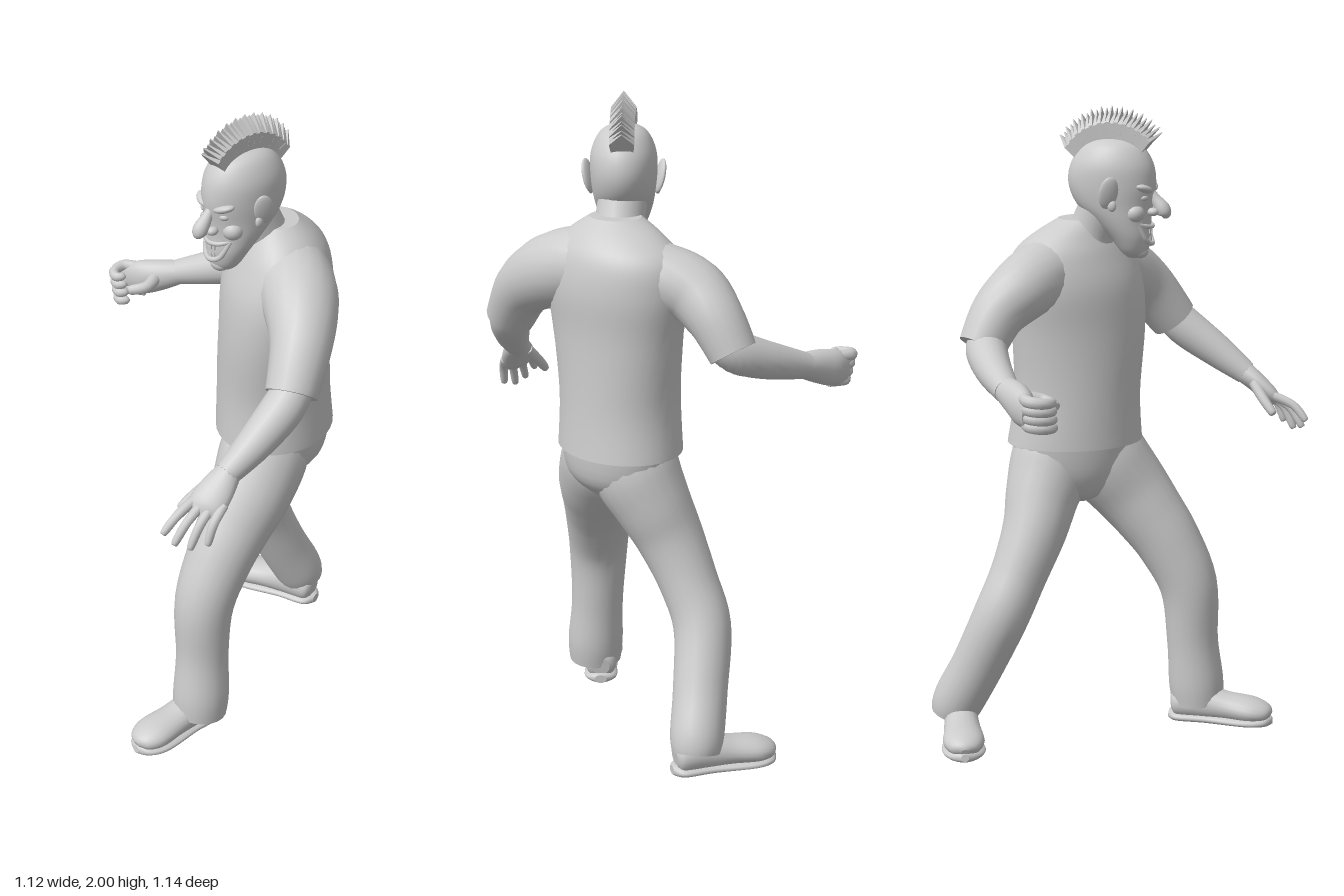
import * as THREE from 'three';

const V = (x, y, z) => new THREE.Vector3(x, y, z);
const material = new THREE.MeshStandardMaterial({ color: 0xcccccc, side: THREE.DoubleSide });

function add(parent, name, geometry, position = [0, 0, 0], scale = [1, 1, 1], rotation = [0, 0, 0]) {
  const mesh = new THREE.Mesh(geometry, material);
  mesh.name = name;
  mesh.position.set(...position);
  mesh.scale.set(...scale);
  mesh.rotation.set(...rotation);
  parent.add(mesh);
}

// Catmull-Rom interpolation between rows of numbers
function smooth(rows, sub = 5) {
  const out = [];
  const at = i => rows[Math.min(Math.max(i, 0), rows.length - 1)];
  for (let i = 0; i < rows.length - 1; i++) {
    for (let s = 0; s < sub; s++) {
      const t = s / sub;
      out.push(rows[i].map((b, k) => {
        const a = at(i - 1)[k], c = at(i + 1)[k], d = at(i + 2)[k];
        return b + 0.5 * t * (c - a + t * (2 * a - 5 * b + 4 * c - d + t * (3 * (b - c) + d - a)));
      }));
    }
  }
  out.push(rows[rows.length - 1]);
  return out;
}

// Skin over a list of rings, with capped ends
function loft(rings) {
  const n = rings[0].length, pos = [], index = [];
  rings.forEach(r => r.forEach(p => pos.push(p.x, p.y, p.z)));
  for (let i = 0; i < rings.length - 1; i++) {
    for (let j = 0; j < n; j++) {
      const k = (j + 1) % n, a = i * n, b = a + n;
      index.push(a + j, a + k, b + k, a + j, b + k, b + j);
    }
  }
  [rings[0], rings[rings.length - 1]].forEach((r, end) => {
    const base = pos.length / 3, mid = V(0, 0, 0);
    r.forEach(p => { pos.push(p.x, p.y, p.z); mid.addScaledVector(p, 1 / n); });
    pos.push(mid.x, mid.y, mid.z);
    for (let j = 0; j < n; j++) {
      const k = (j + 1) % n;
      index.push(base + n, base + (end ? j : k), base + (end ? k : j));
    }
  });
  const g = new THREE.BufferGeometry();
  g.setAttribute('position', new THREE.Float32BufferAttribute(pos, 3));
  g.setIndex(index);
  g.computeVertexNormals();
  return g;
}

function ring(centre, side, up, a, b, n) {
  return Array.from({ length: n }, (_, j) => {
    const t = j / n * Math.PI * 2;
    return centre.clone().addScaledVector(side, a * Math.cos(t)).addScaledVector(up, b * Math.sin(t));
  });
}

// Limb along rows of [x, y, z, radius, radius across]
function limb(rows, hint = [1, 0, 0], n = 20) {
  const s = smooth(rows.map(r => r.length < 5 ? [...r, r[3]] : r));
  const c = s.map(r => V(r[0], r[1], r[2]));
  return loft(s.map((r, i) => {
    const t = c[Math.min(i + 1, c.length - 1)].clone().sub(c[Math.max(i - 1, 0)]).normalize();
    const side = V(...hint);
    side.addScaledVector(t, -side.dot(t)).normalize();
    return ring(c[i], side, t.clone().cross(side), r[3], r[4], n);
  }));
}

// Upright body from rows of [y, x, z, half width, half depth, turn in degrees]
function body(rows, n = 36) {
  return loft(smooth(rows).map(([y, x, z, a, b, deg]) => {
    const t = deg * Math.PI / 180;
    return ring(V(x, y, z), V(Math.cos(t), 0, Math.sin(t)), V(Math.sin(t), 0, -Math.cos(t)), a, b, n);
  }));
}

// Finger through three points, with a rounded tip
function finger(a, b, c, r = 0.014) {
  const tip = c.map((v, i) => v + (v - b[i]) * 0.1);
  return limb([[...a, r * 1.1], [...b, r], [...c, r * 0.8], [...tip, r * 0.15]], [0.8, 0.1, -0.5], 10);
}

function makeShoe(name, heel, turn, L) {
  const shoe = new THREE.Group();
  shoe.name = name;
  add(shoe, 'upper', limb([[0, .06, 0, .03, .03], [0, .062, .06 * L, .05, .05], [0, .068, .3 * L, .053, .058],
    [0, .06, .55 * L, .058, .045], [0, .052, .8 * L, .065, .04], [0, .045, .95 * L, .045, .027], [0, .04, L, .012, .01]]));
  add(shoe, 'sole', limb([[0, .02, -.01, .02, .014], [0, .02, .06 * L, .052, .018], [0, .02, .35 * L, .053, .018],
    [0, .02, .75 * L, .069, .018], [0, .02, .94 * L, .05, .018], [0, .022, 1.01 * L, .012, .012]]));
  shoe.position.set(...heel);
  shoe.rotation.y = turn;
  return shoe;
}

function makeHead() {
  const head = new THREE.Group();
  head.name = 'head';
  // skull and jaw, with the origin at the middle of the skull
  add(head, 'skull', body([[-.235, 0, .05, .02, .02, 0], [-.215, 0, .05, .046, .042, 0], [-.17, 0, .038, .069, .065, 0],
    [-.12, 0, .012, .085, .09, 0], [-.07, 0, -.012, .094, .12, 0], [-.01, 0, -.02, .1, .137, 0], [.05, 0, -.02, .098, .13, 0],
    [.1, 0, -.018, .078, .1, 0], [.125, 0, -.018, .05, .06, 0], [.135, 0, -.018, .008, .01, 0]]));
  add(head, 'nose', limb([[0, -.015, .09, .012], [0, -.05, .115, .016], [0, -.08, .138, .023], [0, -.1, .147, .019],
    [0, -.112, .145, .003]], [1, 0, 0], 14));
  const ball = new THREE.SphereGeometry(1, 18, 12);
  for (const s of [-1, 1]) {
    add(head, 'eye', ball, [s * .04, -.045, .086], [.019, .012, .017]);
    add(head, 'brow', ball, [s * .043, -.018, .09], [.036, .013, .024], [0, s * .35, s * .3]);
    add(head, 'cheek', ball, [s * .05, -.092, .062], [.033, .03, .032]);
    add(head, 'nostril', ball, [s * .022, -.09, .114], [.015, .013, .018]);
    add(head, 'ear', ball, [s * .108, -.025, -.005], [.011, .052, .03], [.15, s * -.45, -s * .2]);
    add(head, 'earLobe', ball, [s * .1, -.065, .004], [.009, .018, .014]);
  }
  // wide open grin
  const grin = (y, dip, r) => new THREE.TubeGeometry(new THREE.CatmullRomCurve3(
    [V(-.054, -.125, .073), V(-.03, y + dip * .25, .097), V(0, y, .107), V(.03, y + dip * .25, .097), V(.054, -.125, .073)]), 24, r, 8);
  add(head, 'upperLip', grin(-.137, .01, .007));
  add(head, 'lowerLip', grin(-.19, .04, .008));
  for (let i = -3; i <= 3; i++) {
    add(head, 'upperTooth', new THREE.BoxGeometry(.011, .018, .008), [i * .0125, -.148, .103 - i * i * .0022], [1, 1, 1], [0, i * .15, 0]);
    if (Math.abs(i) < 3) add(head, 'lowerTooth', new THREE.BoxGeometry(.01, .013, .008), [i * .012, -.176 + i * i * .002, .101 - i * i * .0022]);
  }
  add(head, 'chin', ball, [0, -.215, .07], [.032, .023, .025]);

  // crest of pointed plates, each thinning to its tip
  const shape = new THREE.Shape([[-.032, 0], [.032, 0], [.037, .07], [0, .122], [-.037, .07]].map(p => new THREE.Vector2(...p)));
  const plate = new THREE.ExtrudeGeometry(shape, { depth: .026, bevelEnabled: false });
  plate.translate(0, 0, -.013);
  const p = plate.attributes.position;
  for (let i = 0; i < p.count; i++) {
    const h = p.getY(i) / .122;
    p.setZ(i, p.getZ(i) * (1 - .9 * h) - .2 * Math.abs(p.getX(i)));
  }
  plate.computeVertexNormals();
  const count = 24;
  for (let i = 0; i < count; i++) {
    const a = THREE.MathUtils.lerp(.82, -.92, i / (count - 1));
    const size = .66 + .2 * Math.cos(a * 1.1 - .1) + (i % 2) * .05;
    add(head, 'hairPlate', plate, [0, .012 + .106 * Math.cos(a), -.018 + .114 * Math.sin(a)], [1, size, 1], [a, 0, 0]);
  }
  head.position.set(.135, 1.77, 0);
  head.rotation.y = -.07;
  return head;
}

export function createModel() {
  const man = new THREE.Group();
  man.name = 'stridingMan';

  // shirt, twisting from hips to shoulders
  add(man, 'shirt', body([[.945, .155, -.143, .217, .178, 60], [1.1, .155, -.135, .203, .172, 56], [1.3, .16, -.13, .222, .168, 48],
    [1.44, .16, -.14, .235, .168, 41], [1.54, .16, -.15, .215, .145, 38], [1.6, .165, -.14, .16, .112, 36], [1.65, .165, -.12, .08, .07, 30]]));
  add(man, 'leftSleeve', limb([[.2, 1.505, -.13, .12], [.29, 1.49, -.085, .118], [.37, 1.455, -.03, .11], [.44, 1.39, .04, .091], [.485, 1.28, .12, .077]]));
  add(man, 'rightSleeve', limb([[.12, 1.5, -.185, .11], [.03, 1.485, -.225, .106], [-.06, 1.455, -.265, .099], [-.12, 1.39, -.325, .085], [-.17, 1.295, -.365, .073]]));

  // neck and head
  add(man, 'neck', limb([[.155, 1.55, -.11, .085], [.15, 1.62, -.08, .075], [.138, 1.7, -.045, .075]]));
  man.add(makeHead());

  // left arm, reaching down and forward
  add(man, 'leftForearm', limb([[.482, 1.32, .09, .055], [.489, 1.255, .155, .063], [.485, 1.18, .26, .054], [.472, 1.11, .36, .038]]));
  add(man, 'leftPalm', limb([[.473, 1.115, .352, .037, .036], [.473, 1.08, .395, .051, .031], [.472, 1.04, .438, .055, .027],
    [.472, 1.015, .458, .042, .016]], [.8, 0, -.5]));
  const tips = [[.422, .975, .56], [.452, .948, .545], [.485, .936, .515], [.52, .95, .48]];
  tips.forEach((tip, i) => {
    const root = [.435 + i * .026, 1.045, .455 - i * .014];
    add(man, 'leftFinger', finger(root, tip.map((v, k) => (v + root[k]) / 2 + [.004, .008, .012][k]), tip));
  });
  add(man, 'leftThumb', finger([.44, 1.085, .39], [.405, 1.035, .43], [.385, 1, .46], .016));

  // right arm, held out with a curled hand
  add(man, 'rightForearm', limb([[-.14, 1.32, -.355, .055], [-.19, 1.288, -.345, .063], [-.29, 1.25, -.3, .055], [-.4, 1.213, -.235, .039]]));
  add(man, 'rightPalm', limb([[-.385, 1.217, -.243, .039, .039], [-.44, 1.2, -.198, .052, .042], [-.49, 1.185, -.168, .056, .036],
    [-.53, 1.175, -.145, .042, .018]], [0, 1, 0]));
  for (let i = 0; i < 4; i++) {
    const y = 1.22 - i * .026, x = i * .006;
    add(man, 'rightFinger', limb([[-.49 + x, y, -.17, .017], [-.541 + x, y - .003, -.142, .018], [-.54 + x, y - .008, -.1, .017],
      [-.51 + x, y - .01, -.08, .015], [-.492 + x, y - .008, -.095, .012], [-.49 + x, y - .008, -.1, .002]], [0, 1, 0], 10));
  }
  add(man, 'rightThumb', finger([-.43, 1.205, -.18], [-.412, 1.195, -.125], [-.445, 1.185, -.082], .019));

  // trousers
  add(man, 'trouserSeat', body([[.755, .125, -.125, .03, .03, 60], [.785, .135, -.13, .1, .09, 60], [.86, .155, -.143, .185, .15, 60], [.98, .157, -.143, .206, .167, 60]]));
  add(man, 'leftTrouserLeg', limb([[.185, .95, -.095, .13], [.2, .87, -.05, .138], [.218, .78, .018, .127], [.22, .7, .08, .115], [.22, .6, .15, .104],
    [.22, .46, .215, .093], [.225, .28, .228, .083], [.232, .14, .24, .089], [.233, .065, .247, .084]]));
  add(man, 'rightTrouserLeg', limb([[.13, .95, -.19, .13], [.105, .87, -.21, .133], [.06, .78, -.23, .118], [.01, .68, -.245, .103], [-.045, .55, -.285, .09],
    [-.085, .42, -.335, .088], [-.075, .25, -.415, .083], [-.062, .13, -.48, .082], [-.058, .08, -.498, .073]]));

  // shoes
  man.add(makeShoe('leftShoe', [.218, .002, .165], -.04, .325));
  man.add(makeShoe('rightShoe', [.005, .002, -.495], -1.28, .32));
  return man;
}
